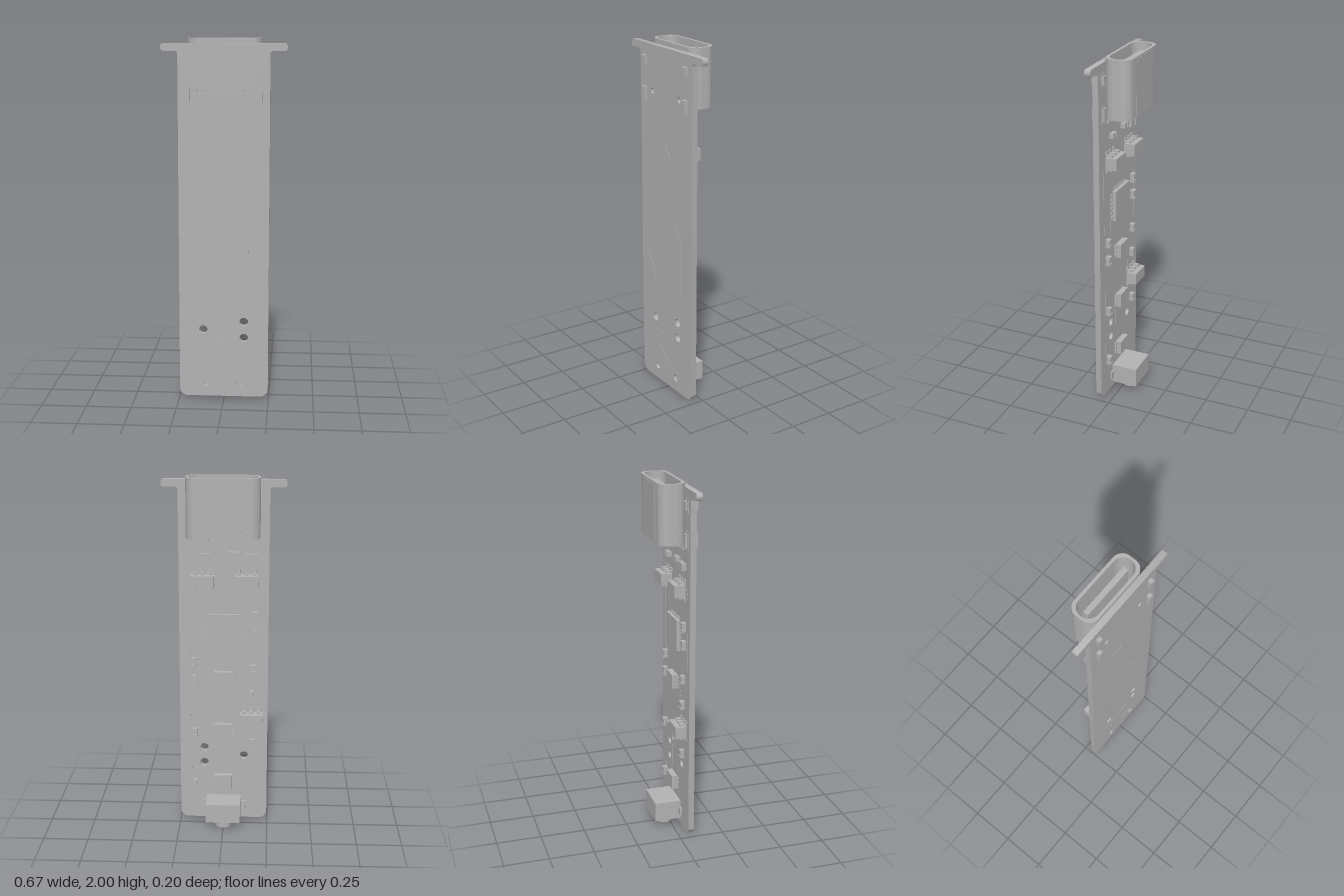
import * as THREE from 'three';
import { toCreasedNormals } from 'three/addons/utils/BufferGeometryUtils.js';

const BACK = 0.045, FRONT = 0.078; // z of the two board faces

export function createModel() {
  const root = new THREE.Group();
  root.name = 'circuitBoardStick';
  const grey = new THREE.MeshStandardMaterial({ color: 0xb2b2b2 });
  grey.name = 'plainGrey';

  const add = (name, geo, parent = root) => {
    const m = new THREE.Mesh(geo, grey);
    m.name = name;
    parent.add(m);
    return m;
  };
  // box given by its limits on each axis
  const box = (name, x0, x1, y0, y1, z0, z1, parent = root) => {
    const m = add(name, new THREE.BoxGeometry(x1 - x0, y1 - y0, z1 - z0), parent);
    m.position.set((x0 + x1) / 2, (y0 + y1) / 2, (z0 + z1) / 2);
    return m;
  };
  const extrude = (shape, depth) => toCreasedNormals(new THREE.ExtrudeGeometry(shape,
    { depth, bevelEnabled: false, curveSegments: 12 }), 0.6);
  // rounded rectangle centred on (0, cy)
  const roundRect = (target, hw, hh, r, cy) => {
    target.absarc(hw - r, cy + hh - r, r, 0, Math.PI / 2);
    target.absarc(-hw + r, cy + hh - r, r, Math.PI / 2, Math.PI);
    target.absarc(-hw + r, cy - hh + r, r, Math.PI, Math.PI * 1.5);
    target.absarc(hw - r, cy - hh + r, r, Math.PI * 1.5, Math.PI * 2);
    target.closePath();
    return target;
  };

  // Board: long plate with a crossbar at the top, rounded foot and drilled holes
  const s = new THREE.Shape();
  const w = 0.247, arm = 0.337, r = 0.045, e = 0.014;
  s.moveTo(-w + r, 0.015);
  s.lineTo(w - r, 0.015);
  s.absarc(w - r, 0.015 + r, r, -Math.PI / 2, 0);
  s.lineTo(w, 1.92);
  s.quadraticCurveTo(w, 1.935, w + 0.015, 1.935);
  s.absarc(arm - e, 1.935 + e, e, -Math.PI / 2, 0);
  s.absarc(arm - e, 1.975 - e, e, 0, Math.PI / 2);
  s.absarc(-arm + e, 1.975 - e, e, Math.PI / 2, Math.PI);
  s.absarc(-arm + e, 1.935 + e, e, Math.PI, Math.PI * 1.5);
  s.lineTo(-w - 0.015, 1.935);
  s.quadraticCurveTo(-w, 1.935, -w, 1.92);
  s.lineTo(-w, 0.015 + r);
  s.absarc(-w + r, 0.015 + r, r, Math.PI, Math.PI * 1.5);
  const pegHoles = [[-0.095, 0.095, 0.02], [0.092, 0.095, 0.02],
    [-0.13, 1.725, 0.016], [0.126, 1.725, 0.016]];
  for (const [x, y, hr] of [[-0.115, 0.402, 0.024], [0.111, 0.449, 0.024],
    [0.111, 0.357, 0.024], ...pegHoles]) {
    s.holes.push(new THREE.Path().absarc(x, y, hr, 0, Math.PI * 2, true));
  }
  add('board', extrude(s, FRONT - BACK)).position.z = BACK;

  // Locating pegs sunk in their holes
  for (const [x, y, hr] of pegHoles) {
    const peg = add('locatingPeg', new THREE.CylinderGeometry(hr * 0.85, hr * 0.85, 0.03, 16).rotateX(Math.PI / 2));
    peg.position.set(x, y, 0.05);
  }

  // Socket: oval metal shell, closed floor, tongue and mounting tabs
  const socket = new THREE.Group();
  socket.name = 'socket';
  root.add(socket);
  const outer = () => roundRect(new THREE.Shape(), 0.198, 0.074, 0.056, 0.029);
  const rim = outer();
  rim.holes.push(roundRect(new THREE.Path(), 0.185, 0.058, 0.0579, 0.029));
  add('socketShell', extrude(rim, 0.28).rotateX(-Math.PI / 2), socket).position.y = 1.72;
  add('socketFloor', extrude(outer(), 0.04).rotateX(-Math.PI / 2), socket).position.y = 1.68;
  box('socketTongue', -0.15, 0.15, 1.72, 1.965, -0.044, -0.015, socket);
  box('shellSeam', -0.1, 0.1, 1.69, 1.99, -0.105, -0.1, socket);
  for (const side of [-1, 1]) {
    const x = side * 0.193;
    for (const [y0, y1] of [[1.862, 1.912], [1.665, 1.74]]) {
      box('mountingTab', x - 0.0125, x + 0.0125, y0, y1, 0.03, 0.1, socket);
      box('tabPad', x - 0.022, x + 0.022, y0 - 0.012, y1 + 0.012, BACK - 0.003, BACK, socket);
    }
  }
  for (let i = 0; i < 12; i++) {
    const x = -0.143 + i * 0.026;
    box('socketPin', x - 0.007, x + 0.007, 1.645, 1.69, 0.032, BACK, socket);
  }

  // Push button at the foot
  box('buttonBody', -0.097, 0.097, 0.045, 0.155, -0.103, BACK);
  add('buttonPlunger', new THREE.CylinderGeometry(0.044, 0.044, 0.05, 32)).position.set(0, 0.025, -0.027);
  for (const side of [-1, 1]) {
    box('buttonLead', side * 0.11 - 0.015, side * 0.11 + 0.015, 0.075, 0.12, 0.035, BACK);
  }

  // Main chip with short leads on all four sides
  box('mainChip', -0.095, 0.09, 1.068, 1.24, 0.02, BACK - 0.003);
  for (let i = 0; i < 6; i++) {
    const d = -0.066 + i * 0.026;
    box('chipLead', d - 0.008, d + 0.004, 1.055, 1.253, 0.038, BACK);
    box('chipLead', -0.108, 0.103, 1.154 + d - 0.004, 1.154 + d + 0.008, 0.038, BACK);
  }

  // Three taller chips on bent legs
  for (const [x, y] of [[0.115, 1.43], [-0.125, 1.43], [-0.155, 0.635]]) {
    const chip = new THREE.Group();
    chip.name = 'leggedChip';
    chip.position.set(x, y, BACK);
    root.add(chip);
    box('chipBody', -0.063, 0.063, -0.033, 0.033, -0.067, -0.006, chip);
    for (const lx of [-0.042, 0, 0.042]) for (const d of [-1, 1]) {
      const leg = (a, b, z0, z1) => box('bentLeg', lx - 0.009, lx + 0.009,
        Math.min(a * d, b * d), Math.max(a * d, b * d), z0, z1, chip);
      leg(0.03, 0.045, -0.038, -0.03);
      leg(0.037, 0.045, -0.03, -0.008);
      leg(0.037, 0.06, -0.008, 0);
    }
  }

  // Three small flat chips with side contacts
  for (const y of [0.87, 0.56, 0.25]) {
    box('smallChip', -0.047, 0.053, y - 0.04, y + 0.04, 0.009, BACK - 0.003);
    for (const dy of [-0.025, 0, 0.025]) {
      box('smallChipContact', -0.058, 0.064, y + dy - 0.007, y + dy + 0.007, 0.036, BACK);
    }
  }

  // Passive parts: body with a thicker cap on each end [x, y, width, height]
  const passives = [[-0.17, 1.227, 0.03, 0.05], [-0.175, 1.126, 0.03, 0.05],
    [-0.163, 0.926, 0.026, 0.044], [-0.157, 0.775, 0.026, 0.044], [-0.157, 0.483, 0.026, 0.044],
    [0.163, 0.965, 0.026, 0.044], [0.163, 0.86, 0.028, 0.05], [0.163, 0.545, 0.026, 0.044],
    [0.163, 0.23, 0.028, 0.05], [0.098, 1.565, 0.046, 0.028], [-0.052, 1.575, 0.046, 0.028],
    [-0.15, 1.56, 0.07, 0.04]];
  for (const [x, y, pw, ph] of passives) {
    const tall = ph > pw, g = new THREE.Group();
    g.name = 'passivePart';
    g.position.set(x, y, BACK);
    root.add(g);
    const L = Math.max(pw, ph) / 2, h = Math.min(pw, ph) / 2;
    box('passiveBody', -h * 0.9, h * 0.9, -L + 0.002, L - 0.002, -0.023, -0.002, g);
    for (const d of [-1, 1]) box('passiveCap', -h, h, d * L * 0.8 - 0.006, d * L * 0.8 + 0.006, -0.027, 0, g);
    if (!tall) g.rotation.z = Math.PI / 2;
  }

  // Raised traces: polylines of very thin bars
  const trace = (z, ...pts) => {
    for (let i = 1; i < pts.length; i++) {
      const [ax, ay] = pts[i - 1], [bx, by] = pts[i];
      const bar = add('trace', new THREE.BoxGeometry(Math.hypot(bx - ax, by - ay), 0.006, 0.003));
      bar.position.set((ax + bx) / 2, (ay + by) / 2, z);
      bar.rotation.z = Math.atan2(by - ay, bx - ax);
    }
  };
  trace(BACK, [0.19, 1.5], [0.19, 1.02], [0.163, 0.98]);
  trace(BACK, [-0.185, 1.45], [-0.205, 1.4], [-0.205, 0.99]);
  trace(BACK, [0.185, 0.82], [0.185, 0.27], [0.163, 0.24]);
  trace(BACK, [0.13, 1.36], [0.11, 1.3], [0.11, 0.99]);
  trace(BACK, [-0.06, 0.88], [-0.12, 0.75], [-0.12, 0.71]);
  trace(BACK, [0.05, 0.5], [0.05, 0.31]);
  trace(FRONT, [-0.19, 0.79], [-0.12, 0.69], [-0.12, 0.49]);
  trace(FRONT, [0.036, 1.006], [0.09, 1.006], [0.134, 0.96], [0.134, 0.59]);
  trace(FRONT, [-0.1, 1.43], [-0.01, 1.45], [0.036, 1.4], [0.036, 1.23]);
  trace(FRONT, [-0.153, 0.33], [0.062, 0.33], [0.062, 0.16]);
  trace(FRONT, [-0.09, 0.245], [0.016, 0.16], [0.1, 0.16]);
  trace(FRONT, [0.195, 1.655], [0.195, 1.455]);

  return root;
}
